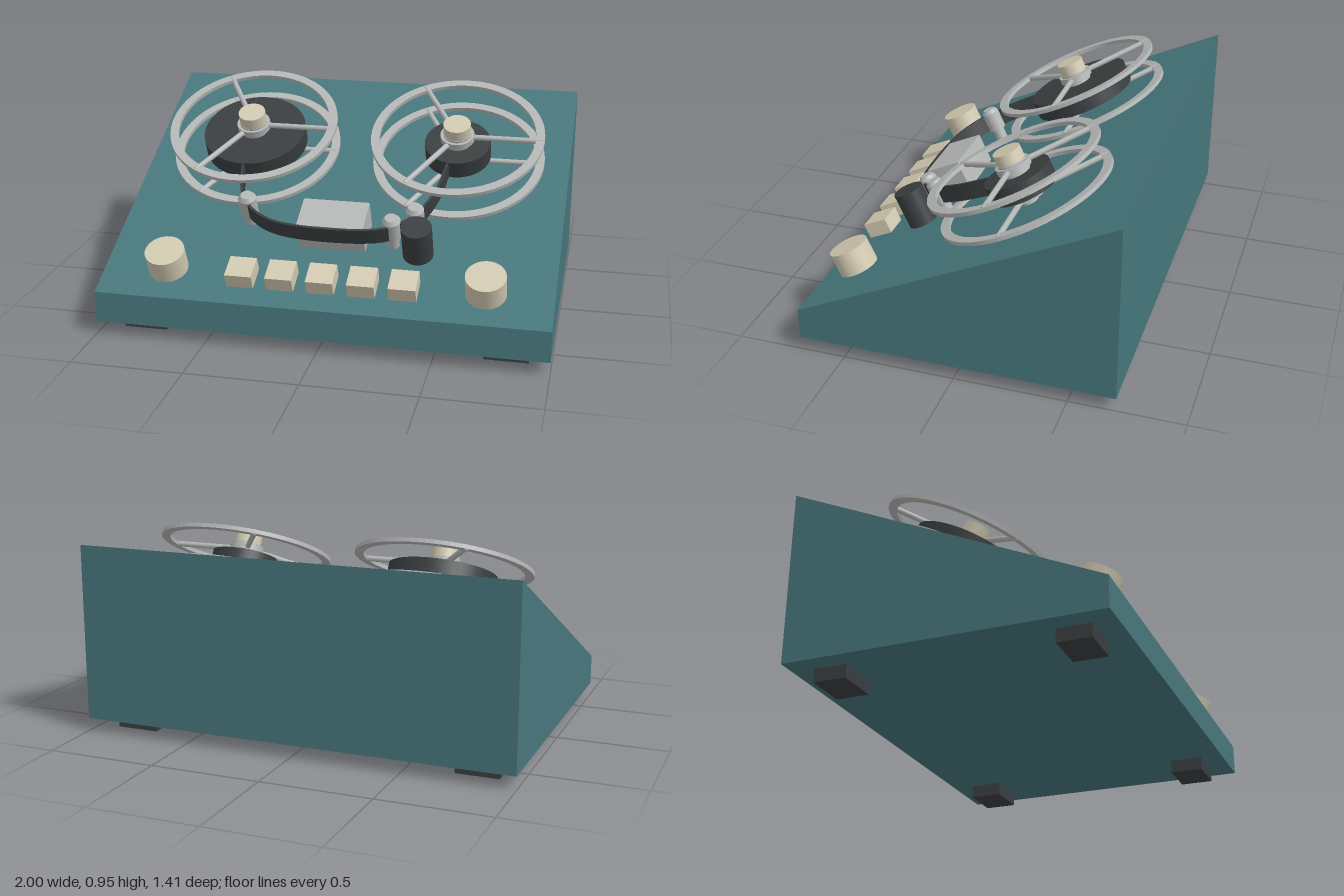
import * as THREE from 'three';

const paint = (color) => new THREE.MeshStandardMaterial({ color });
const teal = paint(0x47777c), dark = paint(0x3a3e40), metal = paint(0xb4b7b5), cream = paint(0xd2cab2);

function add(parent, name, geometry, material, x = 0, y = 0, z = 0) {
  const mesh = new THREE.Mesh(geometry, material);
  mesh.name = name;
  mesh.position.set(x, y, z);
  parent.add(mesh);
  return mesh;
}

// Upright cylinder between two heights
function post(parent, name, material, r, y0, y1, x = 0, z = 0, rTop = r) {
  return add(parent, name, new THREE.CylinderGeometry(rTop, r, y1 - y0, 40), material, x, (y0 + y1) / 2, z);
}

// Flat shape in (x, z), extruded upwards between two heights
function slab(shape, y0, y1) {
  return new THREE.ExtrudeGeometry(shape, { depth: y1 - y0, bevelEnabled: false, curveSegments: 36 })
    .rotateX(Math.PI / 2).translate(0, y1, 0);
}

// Open ring held by three spokes
function flange(parent, name, y) {
  const group = new THREE.Group();
  group.name = name;
  group.position.y = y;
  const ring = new THREE.Shape().absarc(0, 0, 0.4, 0, Math.PI * 2);
  ring.holes.push(new THREE.Path().absarc(0, 0, 0.36, 0, Math.PI * 2, true));
  add(group, 'rim', slab(ring, -0.009, 0.009), metal);
  for (let i = 0; i < 3; i++) {
    const a = i * Math.PI * 2 / 3;
    const geo = new THREE.CylinderGeometry(0.013, 0.013, 0.36, 10).rotateZ(Math.PI / 2).translate(0.21, 0, 0).rotateY(a);
    add(group, 'spoke', geo, metal);
  }
  post(group, 'collar', metal, 0.078, -0.015, 0.015);
  parent.add(group);
}

function reel(parent, name, x, packRadius) {
  const group = new THREE.Group();
  group.name = name;
  group.position.set(x, 0, -0.195);
  post(group, 'spindle', metal, 0.04, 0, 0.05);
  flange(group, 'lowerFlange', 0.038);
  post(group, 'tapePack', dark, packRadius, 0.06, 0.145);
  post(group, 'hub', metal, 0.065, 0.03, 0.2);
  flange(group, 'upperFlange', 0.177);
  post(group, 'hubCap', cream, 0.063, 0.195, 0.253);
  parent.add(group);
}

export function createModel() {
  const model = new THREE.Group();
  model.name = 'tapeRecorder';

  // Wedge-shaped case
  const side = new THREE.Shape([[0.705, 0.06], [0.705, 0.2], [-0.705, 0.86], [-0.705, 0.06]]
    .map(([z, y]) => new THREE.Vector2(z, y)));
  const caseGeo = new THREE.ExtrudeGeometry(side, { depth: 2, bevelEnabled: false })
    .translate(0, 0, -1).rotateY(-Math.PI / 2);
  add(model, 'case', caseGeo, teal);

  // Feet
  for (const sx of [-1, 1]) for (const sz of [-1, 1]) {
    add(model, 'foot', new THREE.BoxGeometry(0.195, 0.06, 0.15), dark, sx * 0.807, 0.03, sz * 0.53);
  }

  // Sloping deck: local y leaves the panel, local z runs down it
  const deck = new THREE.Group();
  deck.name = 'deck';
  deck.position.y = 0.53;
  deck.rotation.x = Math.atan2(0.66, 1.41);
  model.add(deck);

  reel(deck, 'rightReel', -0.488, 0.243);
  reel(deck, 'leftReel', 0.486, 0.152);

  // Tape running from reel to reel past the heads
  const path = new THREE.CatmullRomCurve3([
    [-0.488, 0.03], [-0.465, 0.16], [-0.41, 0.29], [-0.28, 0.39], [0, 0.424],
    [0.25, 0.392], [0.36, 0.3], [0.43, 0.14], [0.46, -0.06],
  ].map(([x, z]) => new THREE.Vector3(x, 0, z)));
  const front = [], back = [];
  for (let i = 0; i <= 60; i++) {
    const p = path.getPoint(i / 60), t = path.getTangent(i / 60);
    front.push(new THREE.Vector2(p.x - t.z * 0.006, p.z + t.x * 0.006));
    back.unshift(new THREE.Vector2(p.x + t.z * 0.006, p.z - t.x * 0.006));
  }
  add(deck, 'tape', slab(new THREE.Shape([...front, ...back]), 0.063, 0.143), dark);

  // Head block, tape guides and pinch roller
  add(deck, 'headBlock', new THREE.BoxGeometry(0.3, 0.14, 0.17), metal, 0, 0.07, 0.328);
  for (const [x, z] of [[-0.407, 0.275], [0.267, 0.354], [0.358, 0.275]]) {
    const guide = new THREE.Group();
    guide.name = 'tapeGuide';
    guide.position.set(x, 0, z);
    post(guide, 'guidePost', metal, 0.028, 0, 0.08);
    post(guide, 'guideRoller', metal, 0.041, 0.06, 0.15);
    post(guide, 'guideCap', metal, 0.041, 0.15, 0.168, 0, 0, 0.028);
    deck.add(guide);
  }
  post(deck, 'pinchRoller', dark, 0.068, 0, 0.167, 0.385, 0.4);

  // Push buttons and rotary knobs
  for (let i = -2; i <= 2; i++) {
    add(deck, 'button', new THREE.BoxGeometry(0.12, 0.07, 0.116), cream, i * 0.18, 0.035, 0.622);
  }
  for (const s of [-1, 1]) post(deck, 'knob', cream, 0.088, 0, 0.11, s * 0.708, 0.6);

  return model;
}
